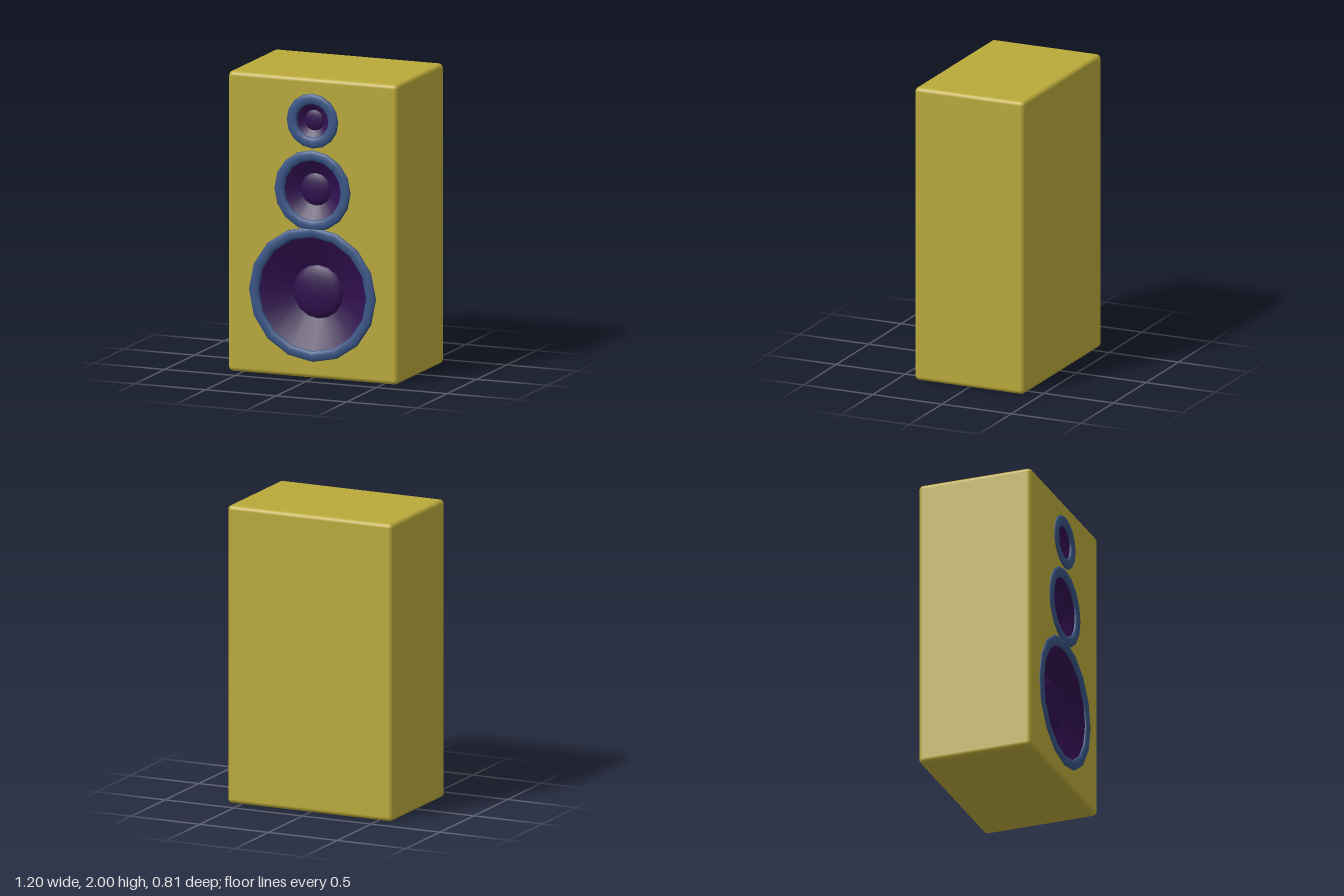
import * as THREE from 'three';
import { RoundedBoxGeometry } from 'three/addons/geometries/RoundedBoxGeometry.js';

const W = 1.2, H = 2, BACK = -0.4, FRONT = 0.39, EDGE = 0.03, SIDES = 16;

// y = centre height, outer / inner = ring radii, dome = cap radius, depth = recess of the cone
const DRIVERS = [
  { name: 'woofer', y: 0.56, outer: 0.45, inner: 0.38, dome: 0.18, depth: 0.1, bulge: 0.045 },
  { name: 'midrange', y: 1.25, outer: 0.27, inner: 0.2, dome: 0.11, depth: 0.06, bulge: 0.028 },
  { name: 'tweeter', y: 1.715, outer: 0.183, inner: 0.112, dome: 0.07, depth: 0.035, bulge: 0.018 },
];

const yellow = new THREE.MeshStandardMaterial({ color: 0xbaa93a });
const blue = new THREE.MeshStandardMaterial({ color: 0x385484 });
const purple = new THREE.MeshStandardMaterial({ color: 0x300f4e });

function part(name, geometry, material) {
  const mesh = new THREE.Mesh(geometry, material);
  mesh.name = name;
  return mesh;
}

// Profile of [radius, z] pairs turned about the z axis
function turned(profile) {
  const points = profile.map(([r, z]) => new THREE.Vector2(r, z));
  return new THREE.LatheGeometry(points, SIDES).rotateX(Math.PI / 2);
}

// Rounded box whose flat front is left out, to be closed by the pierced baffle
function shellGeometry() {
  const depth = FRONT - BACK;
  const box = new RoundedBoxGeometry(W, H, depth, 4, EDGE).toNonIndexed();
  const { position, normal } = box.attributes;
  const pos = [], nor = [];
  for (let i = 0; i < position.count; i += 3) {
    if ([0, 1, 2].every((k) => position.getZ(i + k) > depth / 2 - 1e-4)) continue;
    for (let k = 0; k < 3; k++) {
      pos.push(position.getX(i + k), position.getY(i + k), position.getZ(i + k));
      nor.push(normal.getX(i + k), normal.getY(i + k), normal.getZ(i + k));
    }
  }
  const shell = new THREE.BufferGeometry();
  shell.setAttribute('position', new THREE.Float32BufferAttribute(pos, 3));
  shell.setAttribute('normal', new THREE.Float32BufferAttribute(nor, 3));
  return shell.translate(0, H / 2, (FRONT + BACK) / 2);
}

// Front panel with a round opening for each driver
function baffleGeometry() {
  const x = W / 2 - EDGE, y0 = EDGE, y1 = H - EDGE;
  const shape = new THREE.Shape([[-x, y0], [x, y0], [x, y1], [-x, y1]].map((p) => new THREE.Vector2(...p)));
  for (const d of DRIVERS) {
    const r = (d.outer + d.inner) / 2;
    const hole = [];
    for (let i = 0; i < SIDES; i++) {
      const a = (-i / SIDES) * Math.PI * 2;
      hole.push(new THREE.Vector2(r * Math.cos(a), d.y + r * Math.sin(a)));
    }
    shape.holes.push(new THREE.Path(hole));
  }
  return new THREE.ShapeGeometry(shape).translate(0, 0, FRONT);
}

function driver({ name, y, outer, inner, dome, depth, bulge }) {
  const group = new THREE.Group();
  group.name = name;
  group.position.set(0, y, FRONT);

  // Flattened rounded surround
  const mid = (outer + inner) / 2, half = (outer - inner) / 2;
  const ring = [[outer, -0.008]];
  for (let i = 0; i <= 8; i++) {
    const a = (i / 8) * Math.PI;
    ring.push([mid + half * Math.cos(a), 0.016 * Math.sin(a)]);
  }
  ring.push([inner, -0.008]);
  group.add(part(name + 'Surround', turned(ring), blue));

  // Recessed cone
  group.add(part(name + 'Cone', turned([[inner + 0.01, 0], [dome - 0.005, -depth]]), purple));

  // Domed dust cap
  const cap = [];
  for (let i = 0; i <= 5; i++) {
    const a = (i / 5) * Math.PI / 2;
    cap.push([dome * Math.cos(a), -depth + bulge * Math.sin(a)]);
  }
  cap[5][0] = 0;
  group.add(part(name + 'DustCap', turned(cap), purple));
  return group;
}

export function createModel() {
  const model = new THREE.Group();
  model.name = 'loudspeaker';
  model.add(part('cabinet', shellGeometry(), yellow));
  model.add(part('baffle', baffleGeometry(), yellow));
  for (const d of DRIVERS) model.add(driver(d));
  return model;
}
